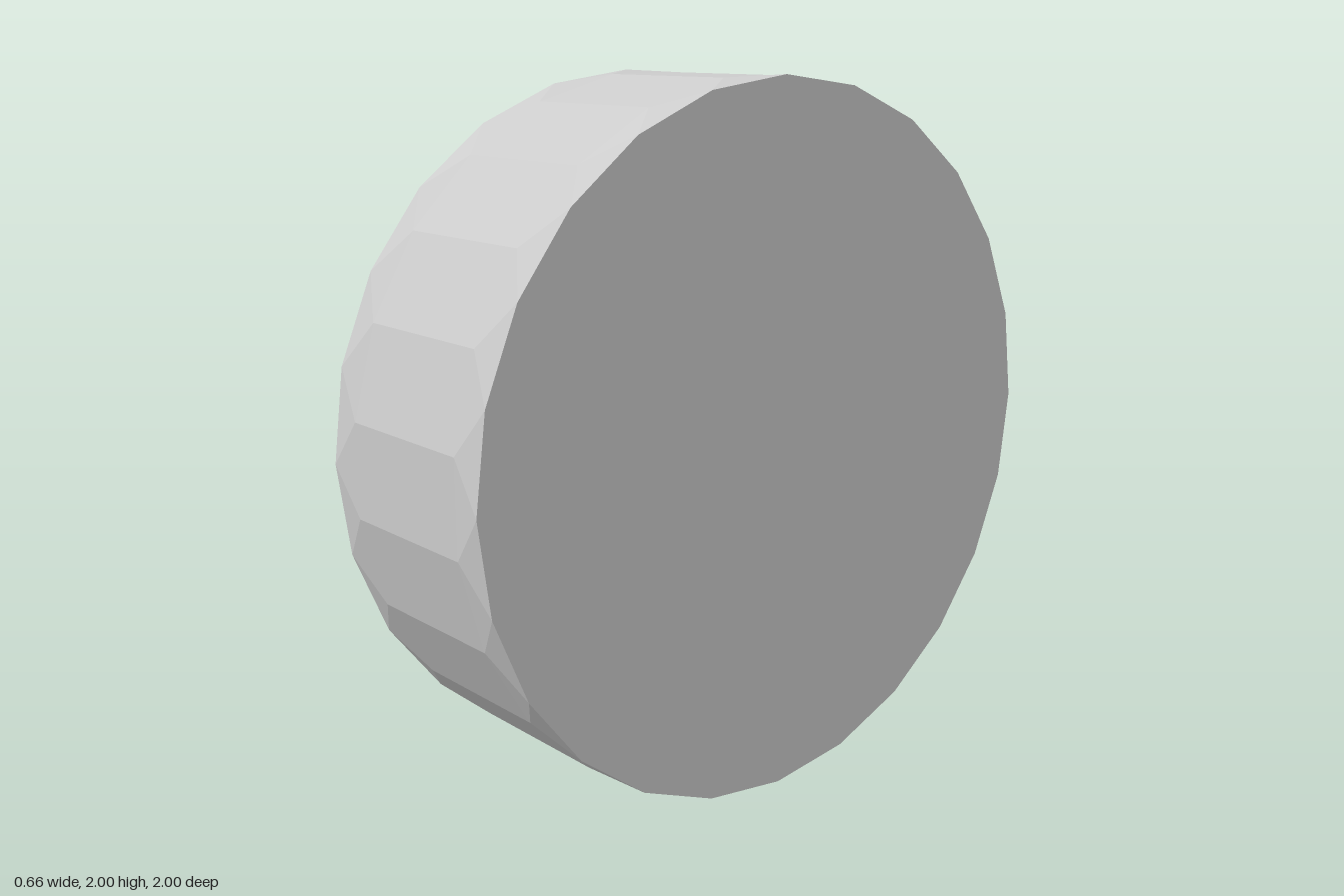
import * as THREE from 'three';

const SIDES = 24;

// Skins a list of rings [x, radius, turn] around the x axis with flat facets.
// turn is a fraction of one side, so neighbouring rings can be staggered.
function skinRings(rings) {
  const positions = [];
  const point = ([x, r, turn], i) => {
    const a = ((i + turn) / SIDES) * Math.PI * 2;
    return [x, r * Math.cos(a), r * Math.sin(a)];
  };
  for (let k = 0; k < rings.length - 1; k++) {
    const [ra, rb] = [rings[k], rings[k + 1]];
    for (let i = 0; i < SIDES; i++) {
      const a0 = point(ra, i), a1 = point(ra, i + 1);
      const b0 = point(rb, i), b1 = point(rb, i + 1);
      // The diagonal always joins the two nearest corners
      const corners = rb[2] < ra[2]
        ? [a0, a1, b1, a0, b1, b0]
        : [a0, a1, b0, a1, b1, b0];
      positions.push(...corners.flat());
    }
  }
  const geometry = new THREE.BufferGeometry();
  geometry.setAttribute('position', new THREE.Float32BufferAttribute(positions, 3));
  geometry.computeVertexNormals();
  return geometry;
}

export function createModel() {
  const group = new THREE.Group();
  group.name = 'roundCap';
  const material = new THREE.MeshStandardMaterial({ color: 0xcccccc, flatShading: true });

  const halfWidth = 0.33, bandHalf = 0.23, inner = 0.9;
  const parts = {
    // Floor and wall of the recess, open towards -x
    recess: [[bandHalf, 0, 0], [bandHalf, inner, 0], [-halfWidth, inner, 0]],
    // Flat ring around the opening
    rim: [[-halfWidth, inner, 0], [-halfWidth, 1, 0]],
    // Outer wall: middle band staggered half a side against both edges
    outerWall: [[-halfWidth, 1, 0], [-bandHalf, 1, 0.5], [bandHalf, 1, 0.5], [halfWidth, 1, 0]],
    // Closed disc facing +x
    endDisc: [[halfWidth, 1, 0], [halfWidth, 0, 0]],
  };
  for (const [name, rings] of Object.entries(parts)) {
    const mesh = new THREE.Mesh(skinRings(rings), material);
    mesh.name = name;
    mesh.position.y = 1;
    group.add(mesh);
  }
  return group;
}
